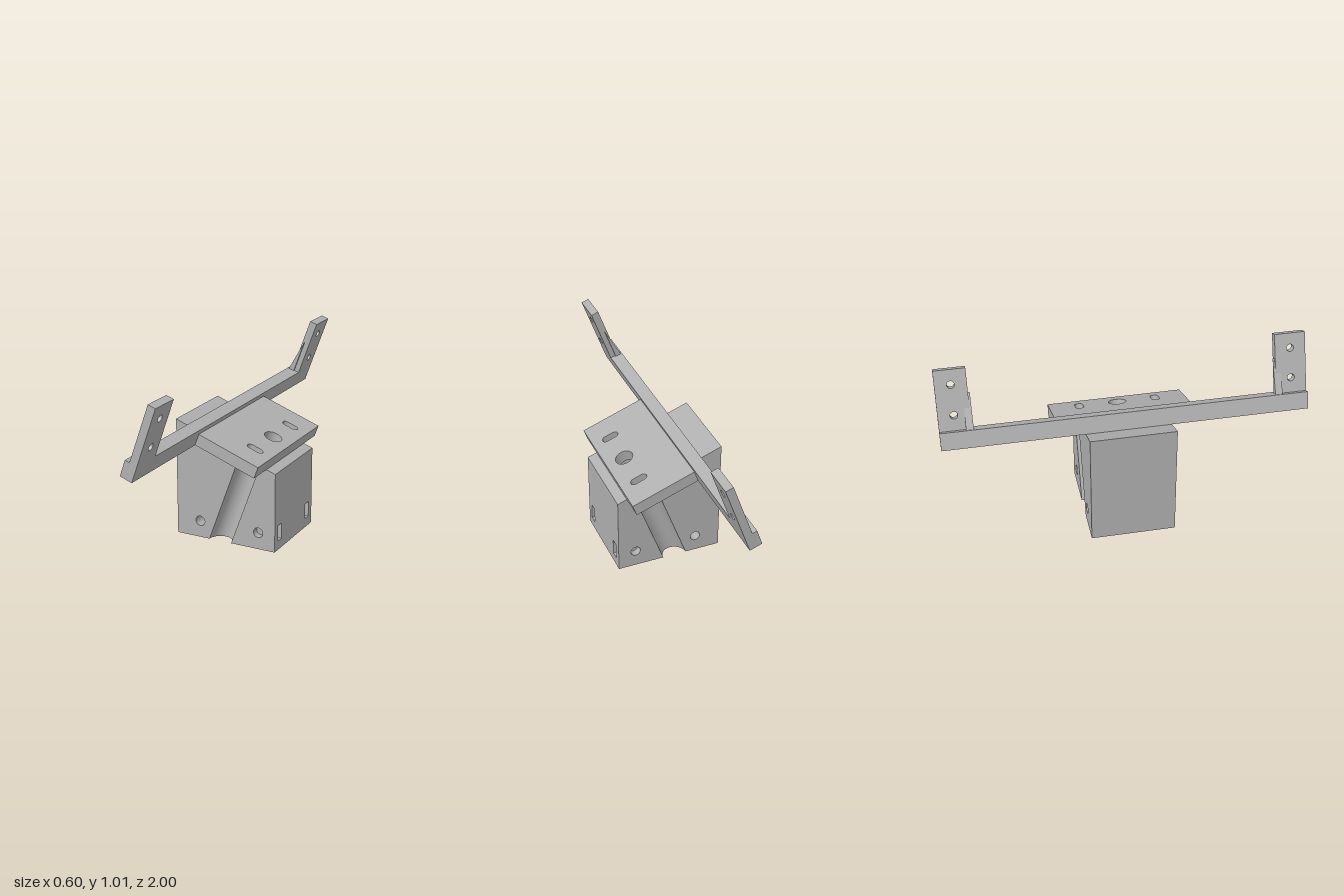
import * as THREE from 'three';

const TILT = THREE.MathUtils.degToRad(20), K = Math.tan(TILT);
const HX = 0.3, HZ = 0.235, TOP = 0.558;      // block half width, half depth, top height at x = 0
const AXIS = -0.033;                          // x of the tilted bore at the base
const topY = x => TOP - K * x;
const lift = ([x, z]) => {                    // slide a base point along the tilted axis to the top
  const tx = (x + K * TOP) / (1 + K * K);
  return [tx, z];
};

// Points of an elliptical arc
function arc(cx, cy, rx, ry, t0, t1, n) {
  return Array.from({ length: n + 1 }, (_, i) => {
    const t = t0 + (t1 - t0) * i / n;
    return [cx + rx * Math.cos(t), cy + ry * Math.sin(t)];
  });
}
const ring = (cx, cy, rx, ry = rx) => arc(cx, cy, rx, ry, 0, Math.PI * 2, 32);
const rect = (cx, cy, w, h) => [[-1, -1], [1, -1], [1, 1], [-1, 1]].map(([a, b]) => [cx + a * w / 2, cy + b * h / 2]);
const vecs = pts => pts.map(([x, y]) => new THREE.Vector2(x, y));

function makeShape(outline, holes = []) {
  const s = new THREE.Shape(vecs(outline));
  holes.forEach(h => s.holes.push(new THREE.Path(vecs(h))));
  return s;
}

// Flat face with holes, placed in space by a mapping rule
function face(outline, holes, map) {
  const g = new THREE.ShapeGeometry(makeShape(outline, holes));
  const p = g.attributes.position;
  for (let i = 0; i < p.count; i++) p.setXYZ(i, ...map(p.getX(i), p.getY(i)));
  g.computeVertexNormals();
  return g;
}

// Ruled surface between two matching rows of points
function ruled(a, b) {
  const pos = [], idx = [];
  a.forEach((p, i) => {
    pos.push(...p, ...b[i]);
    if (i) idx.push(2 * i - 2, 2 * i, 2 * i - 1, 2 * i, 2 * i + 1, 2 * i - 1);
  });
  const g = new THREE.BufferGeometry();
  g.setAttribute('position', new THREE.Float32BufferAttribute(pos, 3));
  g.setIndex(idx);
  g.computeVertexNormals();
  return g;
}

export function createModel() {
  const model = new THREE.Group();
  model.name = 'tiltedMount';
  const grey = new THREE.MeshStandardMaterial({ color: 0xb0b0b0, side: THREE.DoubleSide });
  grey.name = 'grey';
  const add = (parent, name, geometry) => {
    const m = new THREE.Mesh(geometry, grey);
    m.name = name;
    parent.add(m);
    return m;
  };

  // Base block: flat faces around a tilted bore and two tilted grooves
  const block = new THREE.Group();
  block.name = 'baseBlock';
  model.add(block);
  const bore = ring(AXIS, 0, 0.1 / Math.cos(TILT), 0.1);
  const backGroove = arc(AXIS, -HZ, 0.0675, 0.068, 0, Math.PI, 20);
  const frontGroove = arc(AXIS, HZ, 0.0675, 0.068, Math.PI, Math.PI * 2, 20);
  const outline = f => [
    [-HX, -HZ], ...[...backGroove].reverse().map(f), [HX, -HZ],
    [HX, HZ], ...[...frontGroove].reverse().map(f), [-HX, HZ]];
  add(block, 'blockBottom', face(outline(p => p), [bore], (x, z) => [x, 0, z]));
  add(block, 'blockTop', face(outline(lift).map(([x, z]) => [x, -z]), [bore.map(lift)],
    (x, z) => [x, topY(x), -z]));
  const wall = pts => ruled(pts.map(([x, z]) => [x, 0, z]),
    pts.map(lift).map(([x, z]) => [x, topY(x), z]));
  add(block, 'boreWall', wall(bore));
  add(block, 'frontGroove', wall(frontGroove));
  add(block, 'backGroove', wall(backGroove));

  // Front and back panels on each side of the groove, with bolt holes
  const bolts = [-0.157, 0.2], boltY = 0.096, boltR = 0.028;
  const panels = [[-HX, AXIS - 0.0675], [HX, AXIS + 0.0675]];
  panels.forEach(([edge, inner], i) => {
    const up = lift([inner, 0])[0];
    const pts = [[edge, 0], [inner, 0], [up, topY(up)], [edge, topY(edge)]];
    const hole = ring(bolts[i], boltY, boltR);
    for (const s of [1, -1]) {
      const flip = ([x, y]) => [s * x, y];
      add(block, s > 0 ? 'frontPanel' : 'backPanel',
        face(pts.map(flip), [hole.map(flip)], (x, y) => [s * x, y, s * HZ]));
    }
    const row = [...hole].reverse();
    add(block, 'boltHole', ruled(row.map(([x, y]) => [x, y, -HZ]), row.map(([x, y]) => [x, y, HZ])));
  });

  // Side panels; the left one carries two nut pockets
  const side = x => [[-HZ, 0], [HZ, 0], [HZ, topY(x)], [-HZ, topY(x)]];
  const slots = [-0.173, 0.173];
  add(block, 'rightPanel', face(side(-HX), [], (a, b) => [-HX, b, a]));
  add(block, 'leftPanel', face(side(HX), slots.map(z => rect(z, boltY, 0.045, 0.09)), (a, b) => [HX, b, -a]));
  for (const z of slots) {
    const g = new THREE.BoxGeometry(0.15, 0.09, 0.045);
    g.setIndex(Array.from(g.index.array).slice(6).reverse());   // open mouth, walls facing inward
    g.clearGroups();
    g.computeVertexNormals();
    add(block, 'nutPocket', g).position.set(HX - 0.075, boltY, z);
  }

  // Tilted bracket resting on the sloped top
  const bracket = new THREE.Group();
  bracket.name = 'bracket';
  bracket.position.set(-0.1, topY(-0.1), 0);
  bracket.rotation.z = -TILT;
  model.add(bracket);
  const extrude = (shape, depth) => new THREE.ExtrudeGeometry(shape, { depth, bevelEnabled: false });

  // Mounting plate with a centre hole and two slots
  const slot = z => [
    ...arc(0.264 + 0.025, z, 0.0225, 0.0225, -Math.PI / 2, Math.PI / 2, 12),
    ...arc(0.264 - 0.025, z, 0.0225, 0.0225, Math.PI / 2, Math.PI * 1.5, 12)];
  const plate = makeShape(rect(0.185, 0, 0.37, 0.76), [ring(0.264, 0, 0.05).slice(0, -1), slot(0.215), slot(-0.215)]);
  add(bracket, 'mountingPlate', extrude(plate, 0.067).rotateX(-Math.PI / 2));

  // Long crossbar
  add(bracket, 'crossbar', new THREE.BoxGeometry(0.071, 0.095, 2)).position.set(-0.0355, 0.0475, 0);

  // Upright arms with two screw holes and a gusset each
  const armHoles = [0.178, 0.343].map(v => ring(0, v, 0.02).slice(0, -1));
  const arm = makeShape([[-0.085, 0.09], [0.085, 0.09], [0.085, 0.425], [-0.085, 0.425]], armHoles);
  const gusset = makeShape([[-0.064, 0.094], [-0.03, 0.094], [-0.03, 0.29]]);
  for (const s of [1, -1]) {
    add(bracket, 'arm', extrude(arm, 0.044).rotateY(Math.PI / 2)).position.set(-0.044, 0, s * 0.915);
    add(bracket, 'gusset', extrude(gusset, 0.04)).position.z = s > 0 ? 0.82 : -0.86;
  }
  return model;
}
